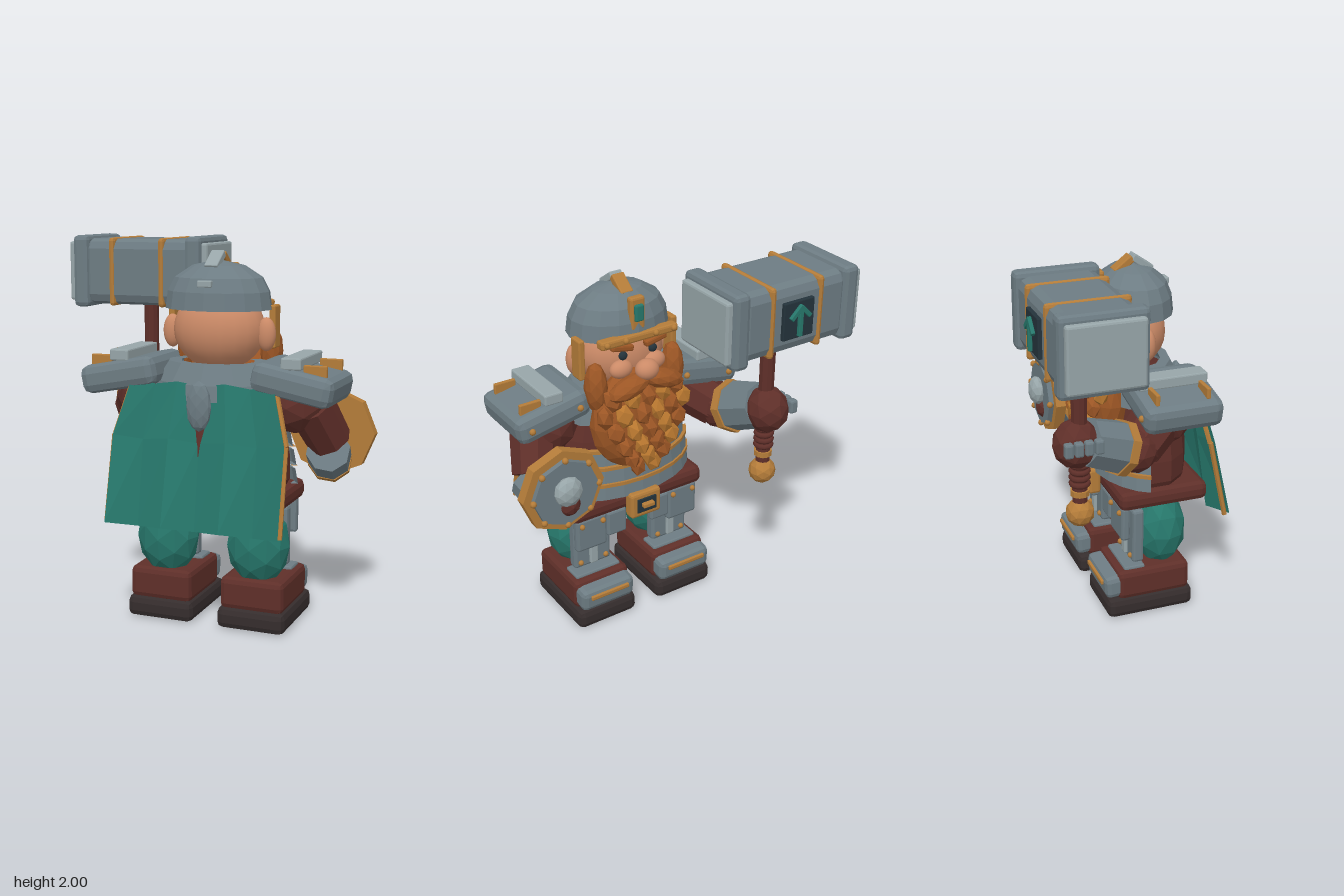
import * as THREE from 'three';
import { RoundedBoxGeometry } from 'three/addons/geometries/RoundedBoxGeometry.js';

const paint = (name, color, side = THREE.FrontSide) => {
  const m = new THREE.MeshStandardMaterial({ color, side });
  m.name = name;
  return m;
};

export function createModel() {
  const steel = paint('steel', 0x6d7c83, THREE.DoubleSide);
  const lightSteel = paint('pale steel', 0x97a5a8);
  const leather = paint('oxblood leather', 0x5f2f29, THREE.DoubleSide);
  const soleMat = paint('dark sole', 0x352d2d);
  const teal = paint('teal cloth', 0x27786c, THREE.DoubleSide);
  const gold = paint('gold', 0xb47c39);
  const skin = paint('skin', 0xcb8a67);
  const hair = paint('ginger hair', 0x9c5625);
  const hairTip = paint('light hair', 0xb8772f);
  const dark = paint('dark inlay', 0x24333b);

  const root = new THREE.Group();
  root.name = 'hammerDwarf';
  const CX = 0.13; // body centre line

  const flat = (g) => {
    const n = g.index ? g.toNonIndexed() : g;
    n.computeVertexNormals();
    return n;
  };
  const add = (name, geo, mat, pos = [0, 0, 0], rot = [0, 0, 0], scale = [1, 1, 1]) => {
    const m = new THREE.Mesh(geo, mat);
    m.name = name;
    m.position.set(...pos);
    m.rotation.set(...rot);
    m.scale.set(...scale);
    root.add(m);
    return m;
  };
  const block = (name, mat, size, pos, bevel = 0.01, rot) =>
    add(name, flat(new RoundedBoxGeometry(...size, 1, bevel)), mat, pos, rot);
  const rock = (name, mat, pos, scale, detail = 1, rot) =>
    add(name, flat(new THREE.IcosahedronGeometry(1, detail)), mat, pos, rot, scale);
  const ball = (name, mat, pos, scale) =>
    add(name, new THREE.SphereGeometry(1, 20, 14), mat, pos, [0, 0, 0], scale);
  const stud = (name, pos, r = 0.016) => add(name, new THREE.SphereGeometry(r, 8, 6), gold, pos);
  const limb = (name, mat, a, b, r1, r2, sides = 8) => {
    const A = new THREE.Vector3(...a), B = new THREE.Vector3(...b), d = B.clone().sub(A);
    const m = add(name, flat(new THREE.CylinderGeometry(r2, r1, d.length(), sides)), mat);
    m.position.copy(A).addScaledVector(d, 0.5);
    m.quaternion.setFromUnitVectors(new THREE.Vector3(0, 1, 0), d.normalize());
    return m;
  };
  const lathe = (name, mat, pts, pos, scale, segs = 14, start = 0, len = Math.PI * 2) =>
    add(name, flat(new THREE.LatheGeometry(pts.map((p) => new THREE.Vector2(...p)), segs, start, len)),
      mat, pos, [0, 0, 0], scale);

  // Legs, boots and leg armour
  for (const s of [-1, 1]) {
    const x = CX + s * 0.255;
    block('sole', soleMat, [0.37, 0.115, 0.5], [x, 0.058, 0.135], 0.035);
    block('boot', leather, [0.345, 0.17, 0.42], [x, 0.19, 0.155], 0.03);
    block('toeCap', steel, [0.33, 0.13, 0.2], [x, 0.19, -0.025], 0.03, [-0.08, 0, 0]);
    block('toeTrim', gold, [0.24, 0.025, 0.02], [x, 0.21, -0.13], 0.005);
    block('bootCuff', steel, [0.28, 0.03, 0.12], [x, 0.275, 0.05], 0.01);
    rock('trouserLeg', teal, [x, 0.44, 0.24], [0.17, 0.22, 0.148]);
    block('greave', steel, [0.23, 0.32, 0.065], [x, 0.455, 0.08], 0.015);
    block('greaveRidge', lightSteel, [0.05, 0.28, 0.03], [x, 0.45, 0.045], 0.008);
    for (const k of [-1, 1]) stud('greaveStud', [x + k * 0.08, 0.33, 0.045]);
    block('tasset', steel, [0.19, 0.2, 0.05], [x + s * 0.04, 0.555, 0.0], 0.015);
    block('smallTasset', steel, [0.12, 0.15, 0.045], [x - s * 0.115, 0.575, -0.01], 0.012);
    for (const k of [-1, 1]) stud('tassetStud', [x + s * 0.04 + k * 0.065, 0.62, -0.03]);
  }

  // Torso, belt and belly plates
  lathe('torso', leather,
    [[0, 0.52], [0.14, 0.54], [0.34, 0.66], [0.4, 0.78], [0.4, 0.9], [0.37, 1.08], [0.31, 1.28], [0, 1.36]],
    [CX, 0, 0.2], [1, 1, 0.62]);
  for (const [y, r] of [[0.79, 0.43], [0.89, 0.42], [0.99, 0.4]]) {
    lathe('bellyPlate', steel, [[r - 0.02, y - 0.04], [r + 0.015, y - 0.04], [r, y + 0.04], [r - 0.03, y + 0.05]],
      [CX, 0, 0.2], [1, 1, 0.63], 10, Math.PI - 1.3, 2.6);
    lathe('bellyTrim', gold, [[r, y + 0.036], [r + 0.015, y + 0.036], [r + 0.015, y + 0.056], [r - 0.02, y + 0.056]],
      [CX, 0, 0.2], [1, 1, 0.63], 10, Math.PI - 1.3, 2.6);
  }
  block('belt', leather, [0.84, 0.105, 0.505], [CX, 0.698, 0.212], 0.035);
  block('buckle', gold, [0.19, 0.15, 0.07], [CX, 0.688, -0.075], 0.015);
  block('buckleInlay', dark, [0.12, 0.085, 0.015], [CX, 0.688, -0.11], 0.003);
  block('buckleTongue', gold, [0.07, 0.025, 0.03], [CX, 0.695, -0.128], 0.005);

  // Collar and back pendant
  lathe('collar', steel, [[0.36, 1.2], [0.34, 1.28], [0.27, 1.38], [0.2, 1.38]], [CX, 0, 0.17], [1, 1, 0.73], 12);
  rock('backPendant', steel, [CX, 1.18, 0.435], [0.068, 0.13, 0.035]);

  // Pleated cape with gold edges
  const rows = [[1.285, 0.385, 0.405, 0.015], [1.0, 0.465, 0.47, 0.035], [0.555, 0.47, 0.572, 0.07]];
  const point = ([y, half, z, fold], c) =>
    [CX + half * (c / 3 - 1), y + (c % 2 ? -0.01 : 0.01), z - (c % 2 ? fold : 0)];
  const verts = [], idx = [];
  rows.forEach((r) => { for (let c = 0; c < 7; c++) verts.push(...point(r, c)); });
  for (let r = 0; r < 2; r++) for (let c = 0; c < 6; c++) {
    const a = r * 7 + c;
    idx.push(a, a + 7, a + 1, a + 1, a + 7, a + 8);
  }
  const capeGeo = new THREE.BufferGeometry();
  capeGeo.setAttribute('position', new THREE.Float32BufferAttribute(verts, 3));
  capeGeo.setIndex(idx);
  add('cape', flat(capeGeo), teal);
  for (const c of [0, 6]) for (let r = 0; r < 2; r++) {
    const a = point(rows[r], c), b = point(rows[r + 1], c);
    a[2] -= 0.025; b[2] -= 0.03;
    limb('capeTrim', gold, a, b, 0.014, 0.014, 6);
  }

  // Shoulder plates
  for (const s of [-1, 1]) {
    const x = CX + s * 0.47;
    block('pauldron', steel, [0.43, 0.15, 0.425], [x, 1.305, 0.21], 0.045, [0, 0, -s * 0.19]);
    block('pauldronRidge', lightSteel, [0.105, 0.06, 0.37], [x - s * 0.005, 1.41, 0.205], 0.008);
    for (const z of [0.07, 0.345]) block('pauldronTrim', gold, [0.12, 0.06, 0.022], [x + s * 0.11, 1.375, z], 0.005);
    for (const k of [-0.14, 0.14]) stud('pauldronStud', [x + k, 1.305 - s * k * 0.19, -0.005], 0.018);
  }

  // Hammer arm
  rock('rightShoulder', leather, [-0.27, 1.18, 0.19], [0.16, 0.15, 0.16]);
  limb('rightUpperArm', leather, [-0.27, 1.2, 0.19], [-0.41, 1.09, 0.0], 0.14, 0.125);
  rock('rightElbow', leather, [-0.42, 1.09, -0.02], [0.13, 0.125, 0.13]);
  limb('rightBracer', steel, [-0.44, 1.12, -0.1], [-0.48, 1.2, -0.3], 0.14, 0.125);
  limb('rightBracerTrim', gold, [-0.435, 1.11, -0.08], [-0.444, 1.127, -0.125], 0.148, 0.148);
  rock('rightGlove', leather, [-0.48, 1.2, -0.35], [0.115, 0.13, 0.125]);
  for (let i = 0; i < 4; i++)
    block('knucklePlate', steel, [0.045, 0.075, 0.045], [-0.59, 1.22, -0.425 + i * 0.052], 0.01);

  // Shield arm
  rock('leftShoulder', leather, [0.56, 1.18, 0.19], [0.17, 0.15, 0.16]);
  limb('leftUpperArm', leather, [0.64, 1.18, 0.19], [0.71, 0.98, 0.07], 0.125, 0.115);
  limb('leftBracer', steel, [0.715, 0.94, 0.12], [0.67, 0.84, -0.08], 0.115, 0.115);
  limb('leftBracerTrim', gold, [0.68, 0.86, -0.04], [0.67, 0.84, -0.08], 0.119, 0.119);
  rock('leftGlove', leather, [0.645, 0.91, -0.15], [0.075, 0.08, 0.08]);

  // Octagonal shield
  const facing = [-Math.PI / 2, 0, 0];
  const disc = (r, d, turn = 0) => flat(new THREE.CylinderGeometry(r, r, d, 8).rotateY(Math.PI / 8 * turn));
  add('shieldRim', disc(0.235, 0.06), gold, [0.665, 0.99, -0.14], facing);
  add('shieldFace', disc(0.19, 0.03), steel, [0.665, 0.99, -0.183], facing);
  rock('shieldBoss', lightSteel, [0.665, 1.01, -0.215], [0.08, 0.085, 0.05]);
  for (let i = 0; i < 8; i++) {
    const a = i * Math.PI / 4;
    stud('shieldStud', [0.665 + 0.19 * Math.cos(a), 0.99 + 0.19 * Math.sin(a), -0.195], 0.018);
  }

  // War hammer
  const HX = -0.48, HY = 1.8, HZ = -0.335;
  block('hammerHead', steel, [0.68, 0.365, 0.41], [HX, HY, HZ], 0.055);
  for (const s of [-1, 1]) {
    block('hammerCap', steel, [0.095, 0.4, 0.44], [HX + s * 0.34, HY, HZ], 0.025);
    block('hammerFace', lightSteel, [0.06, 0.33, 0.385], [HX + s * 0.39, HY, HZ], 0.012);
    block('hammerBand', gold, [0.036, 0.38, 0.425], [HX + s * 0.15, HY, HZ], 0.055);
  }
  block('hammerInlay', dark, [0.19, 0.2, 0.03], [HX, HY, HZ - 0.21], 0.005);
  block('arrowStem', teal, [0.024, 0.15, 0.02], [HX, HY - 0.01, -0.572], 0.003);
  for (const s of [-1, 1])
    block('arrowBarb', teal, [0.024, 0.09, 0.02], [HX + s * 0.027, HY + 0.045, -0.572], 0.003, [0, 0, s * 0.8]);
  limb('hammerShaft', leather, [HX, 0.88, HZ], [HX, 1.64, HZ], 0.04, 0.042, 10);
  for (let i = 0; i < 5; i++)
    add('gripRing', new THREE.TorusGeometry(0.042, 0.015, 6, 12), leather, [HX, 0.98 + i * 0.035, HZ], [Math.PI / 2, 0, 0]);
  limb('gripCollar', gold, [HX, 0.915, HZ], [HX, 0.945, HZ], 0.05, 0.05, 10);
  rock('pommel', gold, [HX, 0.815, HZ], [0.075, 0.075, 0.075]);

  // Head and face
  ball('head', skin, [CX, 1.54, 0.15], [0.245, 0.21, 0.19]);
  ball('nose', skin, [CX, 1.51, -0.12], [0.065, 0.056, 0.056]);
  for (const s of [-1, 1]) {
    ball('ear', skin, [CX + s * 0.26, 1.525, 0.16], [0.05, 0.087, 0.042]);
    ball('cheek', skin, [CX + s * 0.1, 1.5, -0.03], [0.065, 0.05, 0.045]);
    ball('eye', dark, [CX + s * 0.09, 1.575, -0.035], [0.024, 0.024, 0.018]);
    block('eyebrow', hair, [0.13, 0.035, 0.04], [CX + s * 0.1, 1.625, -0.04], 0.01, [0, 0, s * 0.2]);
    rock('moustache', hair, [CX + s * 0.1, 1.43, -0.11], [0.13, 0.055, 0.065], 1, [0, 0, -s * 0.3]);
    rock('sideburn', hair, [CX + s * 0.235, 1.42, 0.0], [0.06, 0.14, 0.07]);
  }

  // Beard of overlapping tufts
  rock('beard', hair, [CX, 1.2, -0.02], [0.28, 0.3, 0.135], 2);
  const tuftRows = [[1.37, 5], [1.28, 6], [1.19, 5], [1.1, 4], [1.02, 3], [0.95, 2]];
  tuftRows.forEach(([y, n], r) => {
    for (let i = 0; i < n; i++) {
      const u = (i - (n - 1) / 2) * 0.095;
      const bulge = Math.sqrt(Math.max(0.1, 1 - (u / 0.3) ** 2 - ((y - 1.2) / 0.33) ** 2));
      rock('beardTuft', (i + r) % 2 ? hairTip : hair, [CX + u, y, -0.02 - 0.125 * bulge],
        [0.052, 0.068, 0.045], 0, [0.2, i * 0.7, u * 1.5]);
    }
  });

  // Helmet with crest, brow band and cheek straps
  lathe('helmet', steel, [[0.25, 1.65], [0.285, 1.65], [0.272, 1.74], [0.235, 1.81], [0.14, 1.87], [0, 1.9]],
    [CX, 0, 0.163], [1, 1, 0.755], 16);
  block('crestBack', lightSteel, [0.072, 0.04, 0.13], [CX, 1.895, 0.215], 0.006, [0.6, 0, 0]);
  block('crestFront', gold, [0.072, 0.04, 0.12], [CX, 1.89, 0.115], 0.006, [-0.65, 0, 0]);
  block('helmetRivetPlate', lightSteel, [0.075, 0.035, 0.03], [CX, 1.785, 0.352], 0.006);
  block('browPlate', gold, [0.085, 0.18, 0.045], [CX, 1.785, -0.02], 0.012);
  block('browGem', teal, [0.05, 0.09, 0.025], [CX, 1.795, -0.048], 0.008);
  block('browBand', gold, [0.46, 0.045, 0.06], [CX, 1.665, -0.035], 0.012);
  for (const s of [-1, 1]) {
    block('cheekStrap', gold, [0.035, 0.22, 0.085], [CX + s * 0.28, 1.56, 0.09], 0.008);
    for (const k of [0.09, 0.2]) stud('browStud', [CX + s * k, 1.67, -0.068], 0.017);
  }
  return root;
}
